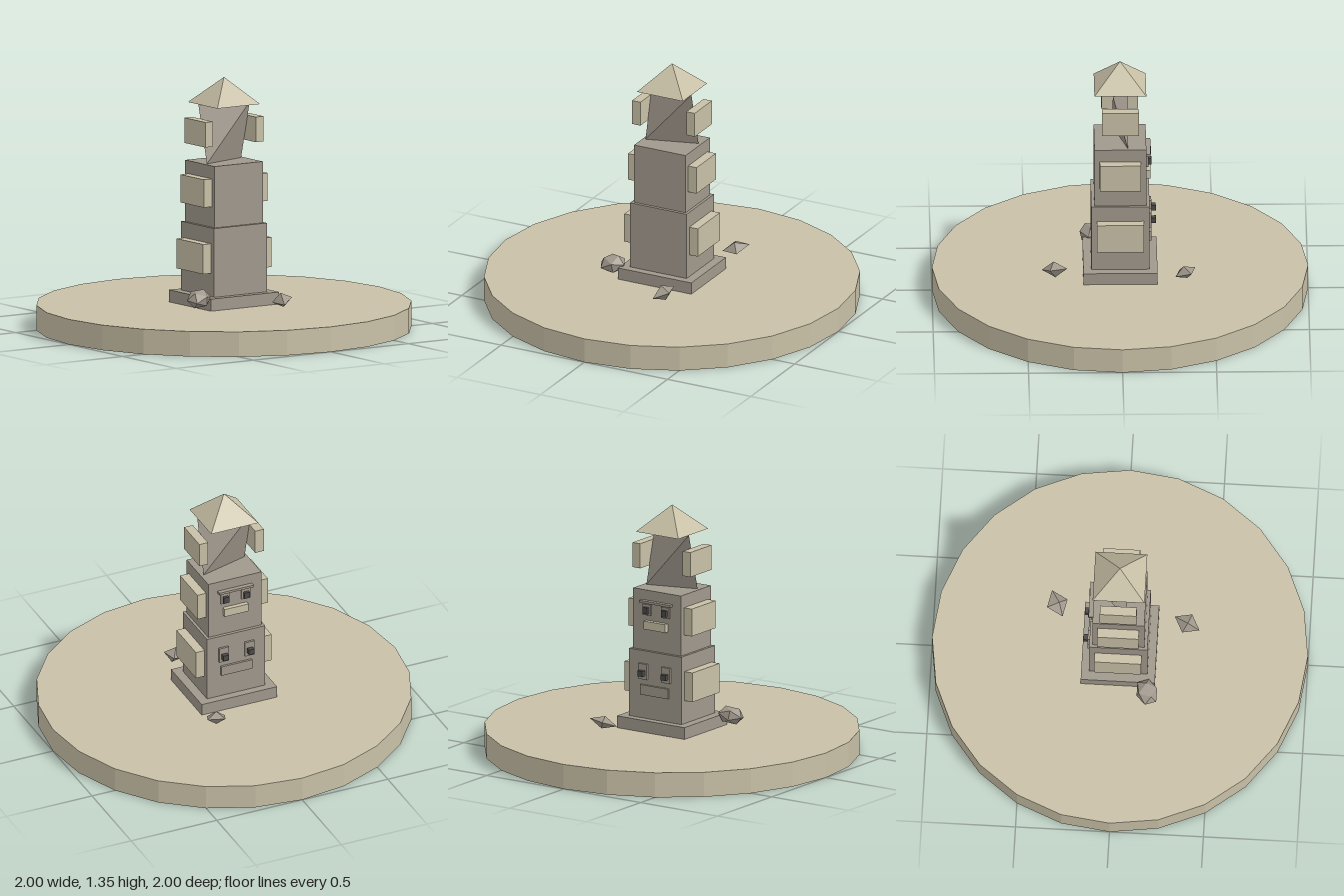
import * as THREE from 'three';

const material = (name, color) => {
  const m = new THREE.MeshStandardMaterial({ color, flatShading: true });
  m.name = name;
  return m;
};

export function createModel() {
  const group = new THREE.Group();
  const sand = material('sand', 0xc8c0a6);
  const stone = material('stone', 0xa0988c);
  const dark = material('dark stone', 0x4c4a48);

  const add = (name, geometry, mat, x, y, z) => {
    const mesh = new THREE.Mesh(geometry, mat);
    mesh.name = name;
    mesh.position.set(x, y, z);
    group.add(mesh);
    return mesh;
  };
  // Box given by its centre in x and z, and its bottom and top
  const box = (name, mat, w, y0, y1, d, x = 0, z = 0) =>
    add(name, new THREE.BoxGeometry(w, y1 - y0, d), mat, x, (y0 + y1) / 2, z);

  // Round ground slab and plinth
  add('groundDisc', new THREE.CylinderGeometry(1, 1, 0.135, 24), sand, 0, 0.0675, 0);
  box('plinth', stone, 0.44, 0.135, 0.2, 0.394);

  // Tower blocks
  box('lowerBlock', stone, 0.34, 0.2, 0.57, 0.31);
  box('middleBlock', stone, 0.31, 0.57, 0.9, 0.276);

  // Twisted wedge neck: bottom and top edges run on opposite diagonals
  add('neck', new THREE.TetrahedronGeometry(Math.sqrt(3)), stone, 0, 1.055, 0)
    .scale.set(0.138, 0.155, 0.04);

  // Pyramid roof
  const roof = new THREE.ConeGeometry(0.138 * Math.SQRT2, 0.14, 4).rotateY(Math.PI / 4);
  add('roof', roof, sand, 0, 1.28, 0);

  // Side slabs on every level
  for (const s of [-1, 1]) {
    box('lowerEar', sand, 0.052, 0.325, 0.485, 0.25, s * 0.195);
    box('middleEar', sand, 0.052, 0.68, 0.83, 0.22, s * 0.18);
    box('upperEar', sand, 0.05, 1.0, 1.135, 0.195, s * 0.163);
  }

  // Carved faces on the back
  box('lowerMouth', stone, 0.18, 0.33, 0.385, 0.012, 0, -0.161);
  box('middleBrow', stone, 0.2, 0.832, 0.845, 0.024, 0, -0.15);
  box('middleMouth', sand, 0.14, 0.69, 0.735, 0.024, 0, -0.15);
  for (const s of [-1, 1]) {
    box('lowerEyeSocket', stone, 0.055, 0.415, 0.5, 0.012, s * 0.075, -0.161);
    box('lowerEye', dark, 0.032, 0.435, 0.465, 0.026, s * 0.075, -0.178);
    box('middleEyeSocket', stone, 0.05, 0.765, 0.825, 0.012, s * 0.06, -0.144);
    box('middleEye', dark, 0.03, 0.775, 0.81, 0.016, s * 0.06, -0.158);
  }

  // Loose rocks around the tower
  const rocks = [
    [new THREE.IcosahedronGeometry(1, 0), [-0.272, 0.202, 0.158], [0.075, 0.05, 0.062], [0.2, 0.4, 0.1]],
    [new THREE.OctahedronGeometry(1, 0), [0.133, 0.185, 0.35], [0.055, 0.042, 0.075], [0.25, -0.4, 0.35]],
    [new THREE.OctahedronGeometry(1, 0), [0.203, 0.198, -0.345], [0.075, 0.034, 0.062], [0.25, 0.5, 0.15]],
  ];
  for (const [geometry, [x, y, z], scale, turn] of rocks) {
    const rock = add('rock', geometry, stone, x, y, z);
    rock.scale.set(...scale);
    rock.rotation.set(...turn);
  }
  return group;
}
